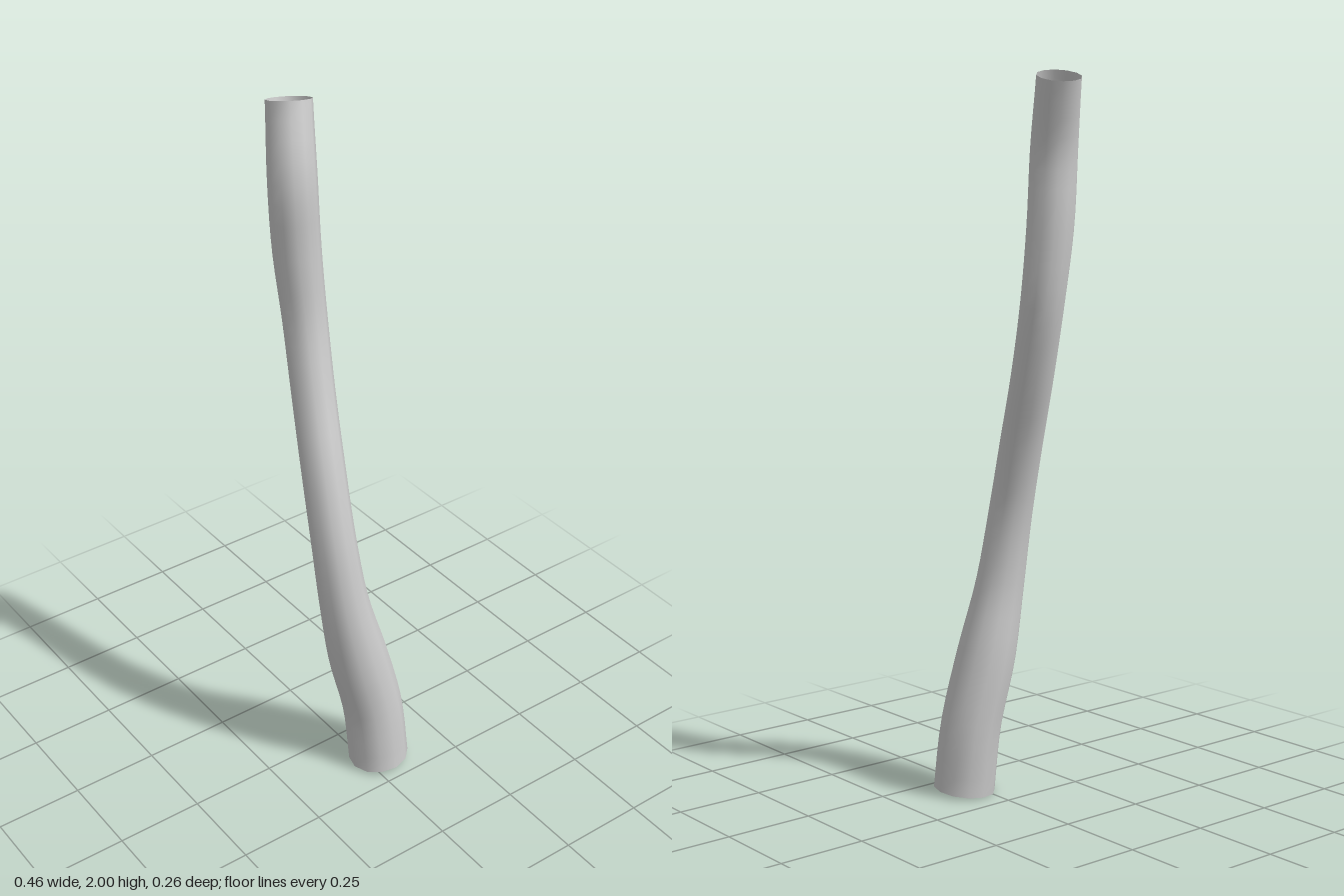
import * as THREE from 'three';
import { mergeVertices } from 'three/addons/utils/BufferGeometryUtils.js';

// Centre line and radius from bottom to top: x, y, z, r
const stations = [
  [0.143, 0.014, -0.043, 0.087],
  [0.128, 0.2, -0.03, 0.086],
  [0.112, 0.4, 0.013, 0.084],
  [0.1, 0.6, 0.053, 0.069],
  [0.075, 0.8, 0.07, 0.062],
  [0.024, 1.0, 0.066, 0.06],
  [-0.045, 1.2, 0.048, 0.059],
  [-0.1, 1.4, 0.035, 0.06],
  [-0.12, 1.6, 0.044, 0.064],
  [-0.127, 1.8, 0.05, 0.064],
  [-0.176, 1.983, 0.023, 0.06],
];
const SIDES = 12;
const RINGS = 40;

// Sweeps a unit tube along the curve, then scales each ring to its radius
function taperedTube() {
  const path = new THREE.CatmullRomCurve3(
    stations.map(([x, y, z]) => new THREE.Vector3(x, y, z)));
  const radii = new THREE.SplineCurve(
    stations.map(([, , , r], i) => new THREE.Vector2(i, r)));
  const geometry = new THREE.TubeGeometry(path, RINGS, 1, SIDES, false);
  const pos = geometry.attributes.position;
  const v = new THREE.Vector3();
  for (let i = 0; i <= RINGS; i++) {
    const centre = path.getPointAt(i / RINGS);
    const r = radii.getPoint(path.getUtoTmapping(i / RINGS)).y;
    for (let j = 0; j <= SIDES; j++) {
      const k = i * (SIDES + 1) + j;
      v.fromBufferAttribute(pos, k).sub(centre).multiplyScalar(r).add(centre);
      pos.setXYZ(k, v.x, v.y, v.z);
    }
  }
  // Weld the seam for smooth normals all round
  geometry.deleteAttribute('uv');
  geometry.deleteAttribute('normal');
  const welded = mergeVertices(geometry, 1e-5);
  welded.computeVertexNormals();
  return welded;
}

export function createModel() {
  const group = new THREE.Group();
  group.name = 'bentStem';
  // Open, hollow stem
  const stem = new THREE.Mesh(taperedTube(), new THREE.MeshStandardMaterial({
    color: 0xcccccc, side: THREE.DoubleSide,
  }));
  stem.name = 'stem';
  group.add(stem);
  return group;
}
